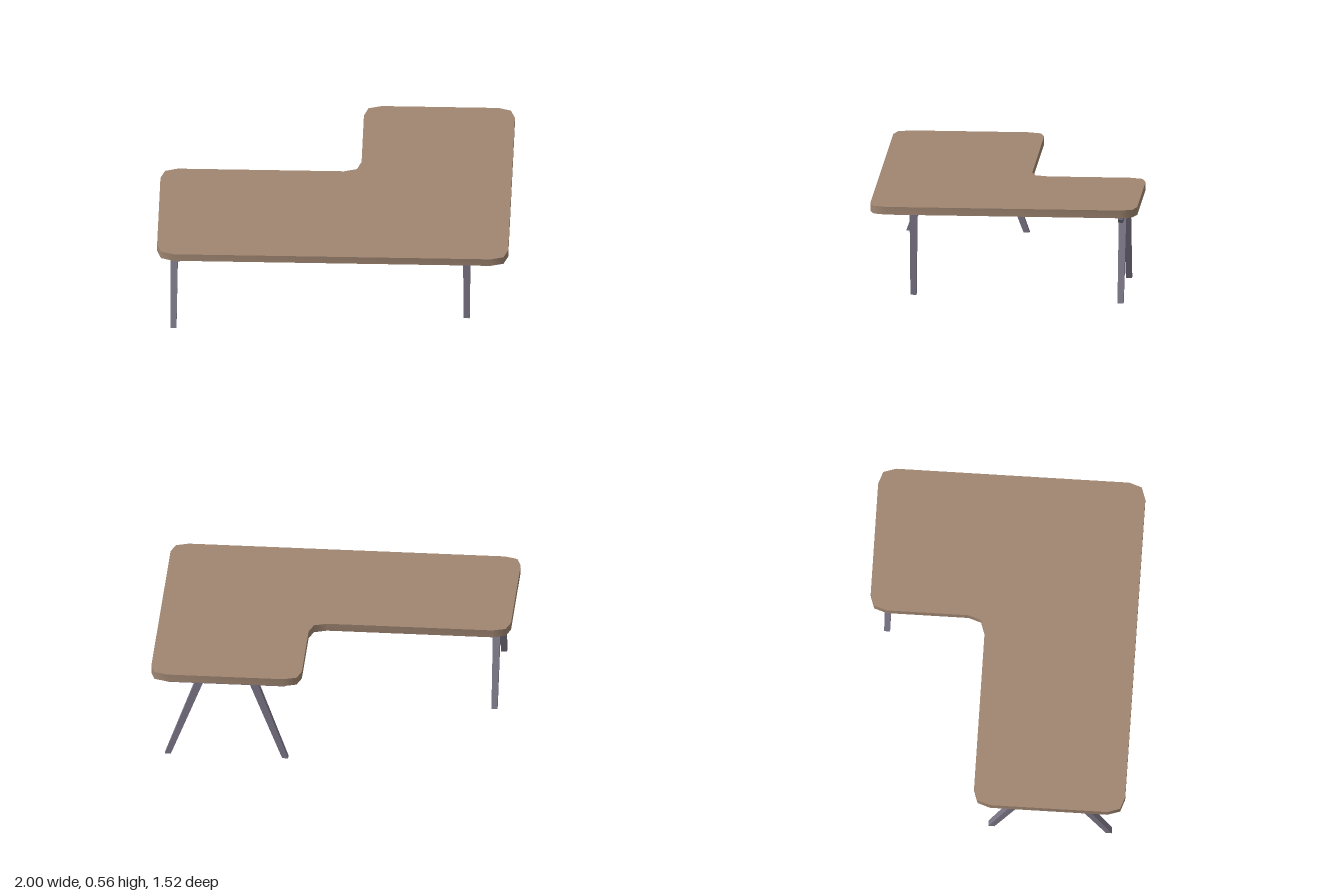
import * as THREE from 'three';
import { toCreasedNormals } from 'three/addons/utils/BufferGeometryUtils.js';

const TOP = 0.56, UNDER = 0.515;

export function createModel() {
  const wood = new THREE.MeshStandardMaterial({ name: 'brown wood', color: 0xa08672 });
  const metal = new THREE.MeshStandardMaterial({ name: 'grey metal', color: 0x7d7889 });
  const model = new THREE.Group();
  model.name = 'cornerDesk';

  const add = (parent, name, geometry, material) => {
    const mesh = new THREE.Mesh(geometry, material);
    mesh.name = name;
    parent.add(mesh);
    return mesh;
  };

  // L-shaped top, every corner rounded in two segments
  const corners = [[-1, 0.762], [1, 0.762], [1, -0.762], [0.14, -0.762], [0.14, -0.1], [-1, -0.1]]
    .map(([x, z]) => new THREE.Vector2(x, z));
  const radius = 0.097;
  const outline = [];
  corners.forEach((c, i) => {
    const prev = corners[(i + 5) % 6], next = corners[(i + 1) % 6];
    const a = c.clone().add(prev.clone().sub(c).setLength(radius));
    const b = c.clone().add(next.clone().sub(c).setLength(radius));
    outline.push(...new THREE.QuadraticBezierCurve(a, c, b).getPoints(2));
  });
  const topGeometry = new THREE.ExtrudeGeometry(new THREE.Shape(outline), {
    depth: TOP - UNDER, bevelEnabled: false,
  });
  topGeometry.rotateX(Math.PI / 2).translate(0, TOP, 0);
  add(model, 'deskTop', toCreasedNormals(topGeometry, 1), wood);

  // Tapered leg, wider at the top, which leans along x by the given amount
  const legGeometry = (topWidth, lean) => {
    const g = new THREE.BoxGeometry(1, UNDER, 1).translate(0, UNDER / 2, 0);
    const p = g.attributes.position;
    for (let i = 0; i < p.count; i++) {
      const high = p.getY(i) > 0.1;
      p.setX(i, p.getX(i) * (high ? topWidth : 0.034) + (high ? lean : 0));
      p.setZ(i, p.getZ(i) * (high ? 0.044 : 0.034));
    }
    g.computeVertexNormals();
    return g;
  };

  // Trestle along x: a beam with chamfered lower ends and two splayed legs
  const trestle = (name) => {
    const group = new THREE.Group();
    group.name = name;
    const beam = new THREE.Shape([
      [-0.357, UNDER], [-0.357, 0.49], [-0.332, 0.467],
      [0.332, 0.467], [0.357, 0.49], [0.357, UNDER],
    ].map(([x, y]) => new THREE.Vector2(x, y)));
    const beamGeometry = new THREE.ExtrudeGeometry(beam, { depth: 0.028, bevelEnabled: false });
    add(group, 'beam', beamGeometry.translate(0, 0, -0.014), metal);
    for (const side of [-1, 1]) {
      const leg = add(group, 'splayedLeg', legGeometry(0.048, -side * 0.193), metal);
      leg.position.x = side * 0.335;
    }
    model.add(group);
    return group;
  };

  const sideTrestle = trestle('sideTrestle');
  sideTrestle.rotation.y = Math.PI / 2;
  sideTrestle.position.set(-0.906, 0, 0.335);
  trestle('backTrestle').position.set(0.569, 0, -0.667);

  // Single upright leg near the front corner
  add(model, 'cornerLeg', legGeometry(0.044, 0), metal).position.set(0.76, 0, 0.525);

  return model;
}
